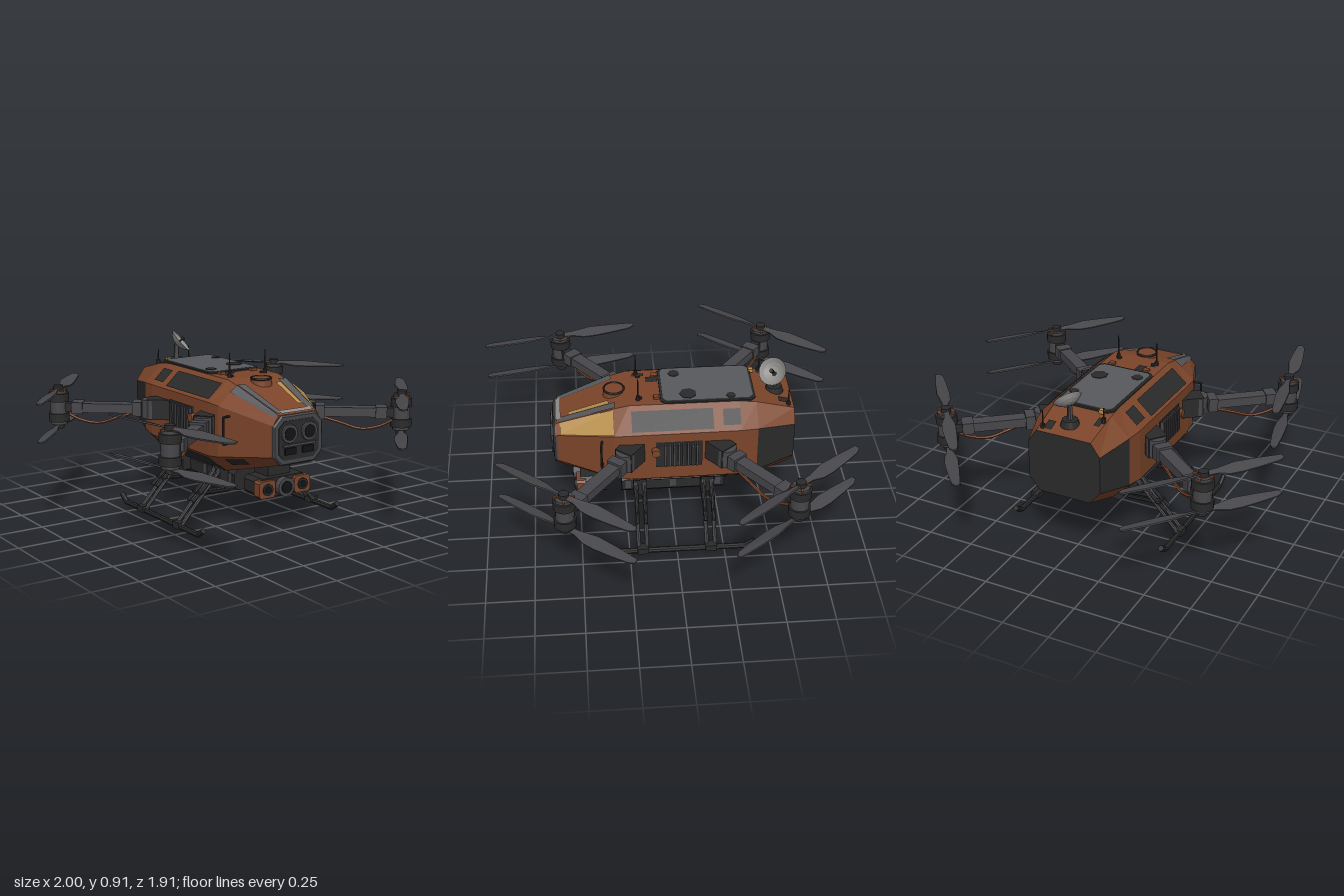
import * as THREE from 'three';

const mat = (name, color, side = THREE.FrontSide) => {
  const m = new THREE.MeshStandardMaterial({ color, side });
  m.name = name;
  m.flatShading = true;
  return m;
};
const M = {
  rust: mat('rust paint', 0x7c452a),
  charcoal: mat('charcoal', 0x2a2a2b, THREE.DoubleSide),
  gunmetal: mat('gunmetal', 0x47474b),
  plate: mat('plate grey', 0x58595d, THREE.DoubleSide),
  ochre: mat('ochre paint', 0xb58c4a, THREE.DoubleSide),
  pale: mat('pale grey', 0x8c8b88, THREE.DoubleSide),
  lens: mat('lens black', 0x121315),
  cable: mat('cable orange', 0x854420),
};

function add(parent, name, geo, material, pos = [0, 0, 0], rot = [0, 0, 0]) {
  const m = new THREE.Mesh(geo, material);
  m.name = name;
  m.position.set(...pos);
  m.rotation.set(...rot);
  parent.add(m);
  return m;
}
const box = (x, y, z) => new THREE.BoxGeometry(x, y, z);
const cyl = (r1, r2, h, n = 16) => new THREE.CylinderGeometry(r1, r2, h, n);

// Round bar between two points
function strut(parent, name, a, b, r, material, n = 8) {
  const A = new THREE.Vector3(...a), B = new THREE.Vector3(...b), d = B.clone().sub(A);
  const m = add(parent, name, cyl(r, r, d.length(), n), material);
  m.position.copy(A).add(B).multiplyScalar(0.5);
  m.quaternion.setFromUnitVectors(new THREE.Vector3(0, 1, 0), d.normalize());
}

// Rectangle with cut corners, extruded along +z
function cutPlate(w, h, c, d, bevel = 0) {
  const x = w / 2, y = h / 2;
  const pts = [[x, -y + c], [x, y - c], [x - c, y], [-x + c, y], [-x, y - c], [-x, -y + c], [-x + c, -y], [x - c, -y]];
  return new THREE.ExtrudeGeometry(new THREE.Shape(pts.map(p => new THREE.Vector2(...p))),
    { depth: d, bevelEnabled: bevel > 0, bevelSize: bevel, bevelThickness: bevel, bevelSegments: 1 });
}

// Hull sections: z, half width, top half width, top y, side top y, side bottom y, bottom half width, bottom y
const SECTIONS = [
  [0.61, 0.15, 0.115, 0.64, 0.59, 0.43, 0.11, 0.385],
  [0.31, 0.275, 0.155, 0.745, 0.655, 0.39, 0.16, 0.305],
  [0.23, 0.28, 0.16, 0.765, 0.66, 0.38, 0.165, 0.285],
  [-0.34, 0.275, 0.16, 0.765, 0.66, 0.38, 0.165, 0.285],
  [-0.43, 0.26, 0.16, 0.755, 0.655, 0.39, 0.165, 0.295],
  [-0.63, 0.2, 0.15, 0.7, 0.63, 0.43, 0.14, 0.36],
];
const ring = ([z, w, tw, ty, st, sb, bw, by]) =>
  [[w, sb], [w, st], [tw, ty], [-tw, ty], [-w, st], [-w, sb], [-bw, by], [bw, by]]
    .map(([x, y]) => new THREE.Vector3(x, y, z));
function sectionAt(z) {
  let i = 0;
  while (i < SECTIONS.length - 2 && z < SECTIONS[i + 1][0]) i++;
  const A = SECTIONS[i], B = SECTIONS[i + 1], t = (z - A[0]) / (B[0] - A[0]);
  return ring(A.map((v, j) => v + (B[j] - v) * t));
}
function fromTriangles(pts) {
  const g = new THREE.BufferGeometry().setFromPoints(pts);
  g.computeVertexNormals();
  return g;
}

// Hull skin; the rear flanks and rear face are dark
function hull(parent) {
  const paint = [], dark = [], rings = SECTIONS.map(ring);
  for (let i = 0; i < rings.length - 1; i++) for (let k = 0; k < 8; k++) {
    const n = (k + 1) % 8, a = rings[i][k], b = rings[i][n], c = rings[i + 1][n], d = rings[i + 1][k];
    (i === rings.length - 2 && (k === 0 || k === 4) ? dark : paint).push(a, d, c, a, c, b);
  }
  const F = rings[0], R = rings[rings.length - 1];
  for (let k = 1; k < 7; k++) {
    paint.push(F[0], F[k], F[k + 1]);
    dark.push(R[0], R[k + 1], R[k]);
  }
  add(parent, 'hull', fromTriangles(paint), M.rust);
  add(parent, 'rear panels', fromTriangles(dark), M.charcoal);
}

// Thin panel lying on hull face k, from z0 back to z1, between fractions u0 and u1 across it
function panel(parent, name, material, k, z0, z1, u0, u1, off = 0.006) {
  const zs = [z0, ...SECTIONS.map(s => s[0]).filter(z => z < z0 && z > z1), z1], pts = [];
  for (let i = 0; i < zs.length - 1; i++) {
    const A = sectionAt(zs[i]), B = sectionAt(zs[i + 1]), n = (k + 1) % 8;
    const q = [[A, u0], [B, u0], [B, u1], [A, u1]].map(([s, u]) => s[k].clone().lerp(s[n], u));
    const nor = q[1].clone().sub(q[0]).cross(q[2].clone().sub(q[0])).normalize().multiplyScalar(off);
    q.forEach(p => p.add(nor));
    pts.push(q[0], q[1], q[2], q[0], q[2], q[3]);
  }
  add(parent, name, fromTriangles(pts), material);
}

// Twisted blade along +x
function bladeGeometry() {
  const s = new THREE.Shape([[0.02, -0.014], [0.07, -0.016], [0.13, -0.036], [0.2, -0.04], [0.3, -0.035], [0.4, -0.026],
    [0.43, -0.01], [0.425, 0.014], [0.3, 0.026], [0.18, 0.032], [0.08, 0.016], [0.02, 0.014]].map(p => new THREE.Vector2(...p)));
  const g = new THREE.ExtrudeGeometry(s, { depth: 0.008, bevelEnabled: false });
  g.rotateX(-Math.PI / 2);
  const p = g.attributes.position;
  for (let i = 0; i < p.count; i++) {
    const a = 0.38 - 0.6 * p.getX(i), y = p.getY(i) - 0.004, z = p.getZ(i);
    p.setY(i, y * Math.cos(a) - z * Math.sin(a));
    p.setZ(i, y * Math.sin(a) + z * Math.cos(a));
  }
  g.computeVertexNormals();
  return g;
}

// Arm with stacked motors and two propellers
function rotorArm(parent, sx, sz, angle, blade) {
  const arm = new THREE.Group();
  arm.name = 'rotorArm';
  arm.position.set(sx * 0.24, 0.55, sz * 0.19);
  arm.rotation.y = Math.atan2(-sz * 0.385, sx * 0.48);
  parent.add(arm);
  add(arm, 'shoulder', box(0.13, 0.11, 0.1), M.charcoal, [0.065, 0, 0]);
  add(arm, 'shoulder joint', cyl(0.052, 0.052, 0.1, 14), M.gunmetal, [0.11, 0, 0]);
  add(arm, 'arm collar', box(0.05, 0.075, 0.088), M.gunmetal, [0.185, 0, 0]);
  add(arm, 'arm beam', box(0.34, 0.05, 0.066), M.gunmetal, [0.36, 0, 0]);
  add(arm, 'arm end clamp', box(0.06, 0.062, 0.082), M.gunmetal, [0.51, 0, 0]);
  add(arm, 'arm end', box(0.07, 0.05, 0.05), M.charcoal, [0.57, 0, 0]);
  const droop = new THREE.CatmullRomCurve3([[0.2, -0.03], [0.3, -0.06], [0.4, -0.09], [0.5, -0.075], [0.58, -0.035]]
    .map(([x, y]) => new THREE.Vector3(x, y, 0.02)));
  add(arm, 'power cable', new THREE.TubeGeometry(droop, 16, 0.008, 6), M.cable);

  const motor = new THREE.Group();
  motor.name = 'motor';
  motor.position.set(sx * 0.72, 0.55, sz * 0.575);
  parent.add(motor);
  add(motor, 'motor mount', cyl(0.047, 0.047, 0.11), M.gunmetal);
  for (const s of [1, -1]) {
    add(motor, 'motor can', cyl(0.056, 0.056, 0.045), M.charcoal, [0, s * 0.055, 0]);
    add(motor, 'motor bell', cyl(0.045, 0.045, 0.02), M.gunmetal, [0, s * 0.083, 0]);
    add(motor, 'propeller hub', cyl(0.026, 0.026, 0.03, 12), M.charcoal, [0, s * 0.103, 0]);
    for (const turn of [0, Math.PI])
      add(motor, 'blade', blade, M.gunmetal, [0, s * 0.1, 0], [0, angle + turn, 0]);
  }
  for (let i = 0; i < 4; i++)
    add(motor, 'motor bolt', box(0.022, 0.01, 0.012), M.cable, [Math.cos(i * 1.57) * 0.042, 0.094, Math.sin(i * 1.57) * 0.042], [0, -i * 1.57, 0]);
}

function landingGear(parent, s) {
  const x = s * 0.43;
  const rail = [[x, 0.05, 0.41], [x, 0.016, 0.36], [x, 0.016, -0.36], [x, 0.05, -0.41]];
  for (let i = 0; i < 3; i++) strut(parent, 'skid rail', rail[i], rail[i + 1], 0.015, M.charcoal);
  for (const z of [0.18, -0.18]) {
    add(parent, 'skid clamp', box(0.045, 0.035, 0.06), M.charcoal, [x, 0.025, z]);
    add(parent, 'leg bracket', box(0.06, 0.1, 0.07), M.charcoal, [s * 0.17, 0.26, z]);
    for (const d of [0.022, -0.022]) {
      strut(parent, 'upper leg', [s * 0.18, 0.3, z + d], [s * 0.27, 0.2, z + d], 0.013, M.gunmetal);
      strut(parent, 'lower leg', [s * 0.27, 0.2, z + d], [x, 0.025, z + d], 0.011, M.gunmetal);
      strut(parent, 'leg brace', [s * 0.14, 0.17, z + d], [s * 0.33, 0.18, z + d], 0.01, M.charcoal);
      strut(parent, 'leg brace', [s * 0.19, 0.29, z + d], [s * 0.36, 0.14, z + d], 0.01, M.charcoal);
    }
  }
}

export function createModel() {
  const g = new THREE.Group();
  g.name = 'surveyDrone';
  const flat = [-Math.PI / 2, 0, 0];
  hull(g);

  // Painted panels and worn patches
  panel(g, 'ochre nose panel', M.ochre, 1, 0.585, 0.31, 0.06, 0.96);
  panel(g, 'ochre stripe', M.ochre, 2, 0.54, 0.33, 0.17, 0.27);
  panel(g, 'nose stripe', M.plate, 2, 0.6, 0.3, 0, 0.16);
  panel(g, 'nose stripe', M.plate, 2, 0.6, 0.31, 0.86, 1);
  panel(g, 'nose stripe', M.plate, 3, 0.6, 0.31, 0, 0.35);
  panel(g, 'worn nose edge', M.pale, 2, 0.608, 0.58, 0.1, 0.9, 0.008);
  for (const [z, u, w] of [[0.13, 0.62, 0.15], [-0.55, 0.1, 0.14], [0.2, 0.8, 0.08], [-0.46, 0.85, 0.1]])
    panel(g, 'worn patch', M.charcoal, 2, z, z - 0.06, u, u + w);
  for (const [up, flank, low, flip] of [[1, 0, 7, false], [3, 4, 5, true]]) {
    const P = (name, m, k, z0, z1, a, b) => panel(g, name, m, k, z0, z1, flip ? 1 - b : a, flip ? 1 - a : b);
    P('upper side panel', M.charcoal, up, 0.22, -0.2, 0.1, 0.8);
    P('upper side hatch', M.charcoal, up, -0.25, -0.34, 0.2, 0.75);
    P('lower side panel', M.charcoal, low, 0.23, -0.28, 0.05, 0.95);
    P('side vent backing', M.charcoal, flank, 0.1, -0.14, 0.28, 0.84);
    P('nose side hatch', M.charcoal, low, 0.45, 0.34, 0.45, 0.9);
  }

  // Nose sensor block
  add(g, 'nose frame', cutPlate(0.29, 0.24, 0.045, 0.02, 0.008), M.gunmetal, [0, 0.51, 0.595]);
  add(g, 'nose face', cutPlate(0.25, 0.2, 0.035, 0.008), M.charcoal, [0, 0.51, 0.619]);
  for (const s of [1, -1]) {
    add(g, 'headlamp ring', cyl(0.047, 0.05, 0.012), M.gunmetal, [s * 0.062, 0.545, 0.63], [Math.PI / 2, 0, 0]);
    add(g, 'headlamp lens', cyl(0.034, 0.034, 0.008), M.lens, [s * 0.062, 0.545, 0.635], [Math.PI / 2, 0, 0]);
    add(g, 'small lamp', box(0.07, 0.035, 0.01), M.lens, [s * 0.055, 0.455, 0.629]);
  }
  add(g, 'nose bar', box(0.2, 0.012, 0.012), M.gunmetal, [0, 0.485, 0.629]);

  // Roof hatch, round cap and bolts
  add(g, 'roof hatch frame', cutPlate(0.32, 0.49, 0.025, 0.009), M.charcoal, [0, 0.763, -0.18], flat);
  add(g, 'roof hatch', cutPlate(0.295, 0.465, 0.02, 0.013), M.plate, [0, 0.763, -0.18], flat);
  for (const [x, z, r] of [[0.09, -0.08, 0.045], [-0.1, -0.02, 0.03], [0.12, -0.3, 0.025]])
    add(g, 'hatch stain', cyl(r, r, 0.004, 7), M.charcoal, [x, 0.777, z]);
  for (const x of [-0.1, 0.1]) {
    add(g, 'hatch hinge', box(0.03, 0.018, 0.03), M.rust, [x, 0.77, 0.085]);
    add(g, 'roof bolt', cyl(0.013, 0.013, 0.012, 8), M.charcoal, [x, 0.768, 0.17]);
  }
  add(g, 'hatch latch', box(0.025, 0.02, 0.025), M.ochre, [-0.11, 0.772, -0.43]);
  add(g, 'round cap', cyl(0.052, 0.058, 0.04, 20), M.rust, [0, 0.75, 0.3]);
  add(g, 'round cap rim', new THREE.TorusGeometry(0.052, 0.006, 6, 20), M.charcoal, [0, 0.768, 0.3], flat);

  // Antennas
  for (const [x, y, z, h] of [[0.11, 0.76, 0.18, 0.13], [-0.115, 0.76, 0.18, 0.13], [0.13, 0.7, -0.6, 0.1], [-0.145, 0.74, -0.48, 0.08]]) {
    add(g, 'antenna base', cyl(0.01, 0.013, 0.035, 8), M.charcoal, [x, y + 0.01, z]);
    add(g, 'antenna', cyl(0.003, 0.005, h, 6), M.charcoal, [x, y + h / 2, z]);
  }

  // Dish antenna
  add(g, 'dish base', cyl(0.04, 0.05, 0.035), M.charcoal, [0.01, 0.735, -0.54]);
  add(g, 'dish post', cyl(0.012, 0.016, 0.09, 10), M.gunmetal, [0.01, 0.785, -0.54]);
  const dish = new THREE.Group();
  dish.name = 'dish';
  dish.position.set(0.015, 0.835, -0.535);
  dish.quaternion.setFromUnitVectors(new THREE.Vector3(0, 1, 0), new THREE.Vector3(0.62, 0.65, 0.42).normalize());
  g.add(dish);
  const bowl = [[0.001, -0.012], [0.03, -0.006], [0.052, 0.006], [0.074, 0.026]].map(p => new THREE.Vector2(...p));
  add(dish, 'dish bowl', new THREE.LatheGeometry(bowl, 24), M.pale);
  add(dish, 'dish feed', cyl(0.005, 0.005, 0.05, 6), M.charcoal, [0, 0.015, 0]);
  add(dish, 'dish receiver', cyl(0.011, 0.011, 0.014, 8), M.charcoal, [0, 0.04, 0]);

  // Belly pack
  add(g, 'belly pack', cutPlate(0.3, 0.11, 0.025, 0.55), M.charcoal, [0, 0.238, -0.275]);
  for (const z of [0.24, 0, -0.24]) add(g, 'belly strap', box(0.306, 0.05, 0.03), M.gunmetal, [0, 0.245, z]);

  // Camera pod under the nose
  add(g, 'camera mount', box(0.14, 0.09, 0.12), M.charcoal, [0, 0.32, 0.4]);
  add(g, 'camera body', cutPlate(0.29, 0.1, 0.02, 0.14), M.charcoal, [0, 0.24, 0.355]);
  const facing = [Math.PI / 2, 0, 0];
  for (const s of [1, -1]) {
    add(g, 'camera housing', cutPlate(0.1, 0.09, 0.012, 0.05), M.rust, [s * 0.11, 0.238, 0.465]);
    add(g, 'side lens ring', cyl(0.03, 0.03, 0.012), M.charcoal, [s * 0.11, 0.238, 0.518], facing);
    add(g, 'side lens', cyl(0.02, 0.02, 0.008), M.lens, [s * 0.11, 0.238, 0.523], facing);
  }
  add(g, 'main camera barrel', cyl(0.05, 0.05, 0.08), M.gunmetal, [0, 0.238, 0.49], facing);
  add(g, 'main lens', cyl(0.033, 0.033, 0.01), M.lens, [0, 0.238, 0.53], facing);

  // Paired side fittings
  for (const s of [1, -1]) {
    for (let i = 0; i < 9; i++) add(g, 'vent rib', box(0.03, 0.135, 0.011), M.gunmetal, [s * 0.287, 0.537, 0.075 - i * 0.0235]);
    add(g, 'side knob', cyl(0.022, 0.022, 0.03, 12), M.rust, [s * 0.295, 0.56, 0.1], [0, 0, Math.PI / 2]);
    strut(g, 'grab handle', [s * 0.29, 0.47, 0.38], [s * 0.29, 0.61, 0.38], 0.006, M.charcoal);
    for (const y of [0.47, 0.61]) strut(g, 'grab handle', [s * 0.29, y, 0.38], [s * 0.22, y, 0.37], 0.006, M.charcoal);
    landingGear(g, s);
  }

  // Rotor arms: side, end, propeller angle
  const blade = bladeGeometry();
  for (const [sx, sz, angle] of [[1, 1, 0.88], [-1, 1, -1.37], [1, -1, -0.88], [-1, -1, 0.88]])
    rotorArm(g, sx, sz, angle, blade);
  return g;
}
